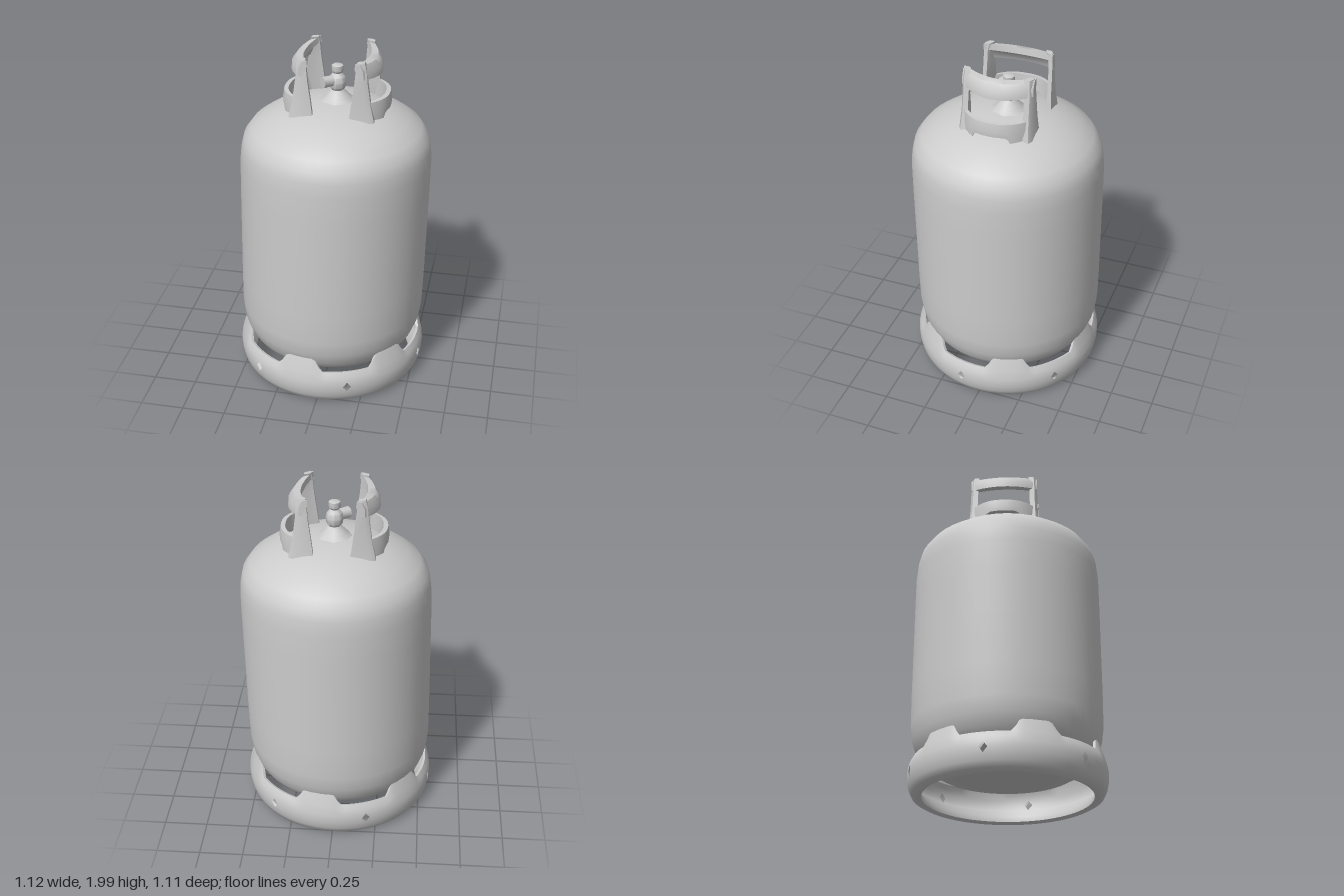
import * as THREE from 'three';
import { toCreasedNormals } from 'three/addons/utils/BufferGeometryUtils.js';

const material = new THREE.MeshStandardMaterial({ color: 0xcccccc, side: THREE.DoubleSide });

function part(name, geometry, parent) {
  const mesh = new THREE.Mesh(geometry, material);
  mesh.name = name;
  parent.add(mesh);
  return mesh;
}

// Skins a list of cross-sections; isHole(i, j) marks grid points to cut a diamond around.
function loft(sections, { closed = false, crease = 0.8, isHole = () => false } = {}) {
  const n = sections.length, m = sections[0].length, index = [];
  const id = (i, j) => (i % n) * m + (j % m);
  for (let i = 0; i < (closed ? n : n - 1); i++) {
    for (let j = 0; j < m; j++) {
      const a = id(i, j), b = id(i, j + 1), c = id(i + 1, j + 1), d = id(i + 1, j);
      if (isHole(i, j)) index.push(b, c, d);
      else if (isHole(i + 1, j + 1)) index.push(a, b, d);
      else if (isHole(i, j + 1)) index.push(a, c, d);
      else if (isHole(i + 1, j)) index.push(a, b, c);
      else index.push(a, b, c, a, c, d);
    }
  }
  if (!closed) {
    for (let j = 1; j < m - 1; j++) {
      index.push(id(0, 0), id(0, j + 1), id(0, j));
      index.push(id(n - 1, 0), id(n - 1, j), id(n - 1, j + 1));
    }
  }
  const geometry = new THREE.BufferGeometry();
  geometry.setAttribute('position', new THREE.Float32BufferAttribute(sections.flat(2), 3));
  geometry.setIndex(index);
  geometry.computeVertexNormals();
  return toCreasedNormals(geometry, crease);
}

const steps = (n, fn) => Array.from({ length: n + 1 }, (_, i) => fn(i / n));
const vec2 = (list) => list.map(([x, y]) => new THREE.Vector2(x, y));

// Tank with a rounded shoulder and base, leaning very slightly to one side
function tankGeometry() {
  const profile = vec2([
    [0, 0.1], [0.2, 0.115], [0.38, 0.16], [0.47, 0.21], [0.505, 0.26], [0.53, 0.33], [0.542, 0.42],
    [0.544, 0.6], [0.544, 0.9], [0.544, 1.2], [0.543, 1.36], [0.535, 1.44], [0.52, 1.5], [0.48, 1.555],
    [0.41, 1.605], [0.34, 1.642], [0.27, 1.67], [0.19, 1.69], [0.1, 1.705], [0, 1.71],
  ]);
  const geometry = new THREE.LatheGeometry(profile, 48);
  const p = geometry.attributes.position;
  for (let i = 0; i < p.count; i++) p.setX(i, p.getX(i) + 0.02 * (p.getY(i) - 0.7));
  return geometry;
}

// Hollow foot ring: six diamond drain holes, with webs between the slots rising to the tank
function footRingGeometry() {
  const profile = [
    [0.53, 0.22], [0.547, 0.19], [0.555, 0.16], [0.557, 0.13], [0.555, 0.1], [0.547, 0.06],
    [0.53, 0.025], [0.5, 0.008], [0.475, 0.02], [0.478, 0.05],
    [0.515, 0.1], [0.525, 0.13], [0.527, 0.16], [0.525, 0.19], [0.515, 0.215],
  ];
  const count = 144, last = profile.length - 1;
  const sections = [];
  for (let i = 0; i < count; i++) {
    const a = (i / count) * Math.PI * 2;
    const web = THREE.MathUtils.smoothstep(-Math.cos(6 * (a - Math.PI / 9)), 0, 0.65);
    sections.push(profile.map(([r, y], j) => {
      const edge = j === 0 || j === last ? 1 : j === 1 || j === last - 1 ? 0.35 : 0;
      const radius = r - 0.016 * web * edge;
      return [Math.sin(a) * radius, y + 0.075 * web * edge, Math.cos(a) * radius];
    }));
  }
  const isHole = (i, j) => i % 24 === 8 && (j === 3 || j === 11);
  return loft(sections, { closed: true, isHole });
}

// Carrying handle on the +x side: grip, curved lower band and two plate-like posts
function createHandle(name) {
  const handle = new THREE.Group();
  handle.name = name;

  part('handleGrip', loft(steps(16, (k) => {
    const t = k * 2 - 1, z = 0.2 * t;
    const x = 0.252 - 0.075 * t * t, y = 0.018 * t * t, w = 1 - 0.35 * t * t;
    return [
      [x - 0.075 * w, 1.945 + y, z], [x - 0.045 * w, 1.925 + y, z], [x - 0.025 * w, 1.882 + y, z],
      [x, 1.89 + y, z], [x - 0.003 * w, 1.935 + y, z], [x - 0.03 * w, 1.972 + y, z],
      [x - 0.07 * w, 1.978 + y, z],
    ];
  })), handle);

  part('handleBand', loft(steps(20, (k) => {
    const t = k * 2 - 1, z = 0.19 * t;
    const x = 0.3 - 0.1 * Math.abs(t) ** 2.5;
    const bottom = 1.692 - 0.06 * THREE.MathUtils.smoothstep(Math.abs(t), 0.45, 0.65);
    return [
      [x - 0.035, bottom, z], [x, bottom, z], [x + 0.003, 1.72, z],
      [x - 0.005, 1.77, z], [x - 0.03, 1.772, z],
    ];
  })), handle);

  for (const side of [-1, 1]) {
    const sections = [
      [1.6, 0.09, 0.245, 0.215], [1.67, 0.1, 0.235, 0.208], [1.76, 0.112, 0.215, 0.202],
      [1.88, 0.128, 0.198, 0.2], [1.96, 0.135, 0.19, 0.198], [1.997, 0.14, 0.18, 0.194],
    ].map(([y, x0, x1, z]) => {
      const corners = [
        [x0, y, side * z], [x1 - 0.025, y, side * z], [x1, y, side * (z - 0.015)],
        [x1, y, side * (z - 0.045)], [x1 - 0.03, y, side * (z - 0.035)], [x0, y, side * (z - 0.022)],
      ];
      return side > 0 ? corners : corners.reverse();
    });
    part(side > 0 ? 'frontPost' : 'backPost', loft(sections), handle);
  }
  return handle;
}

// Valve: stepped faceted stem with one slanting side outlet
function createValve() {
  const valve = new THREE.Group();
  valve.name = 'valve';
  const stem = new THREE.LatheGeometry(vec2([
    [0.14, 1.68], [0.09, 1.71], [0.075, 1.725], [0.055, 1.745], [0.035, 1.765], [0.045, 1.78],
    [0.05, 1.81], [0.044, 1.84], [0.025, 1.862], [0.035, 1.875], [0.033, 1.905], [0.022, 1.911], [0, 1.908],
  ]), 8);
  part('valveStem', toCreasedNormals(stem, 0.8), valve);

  const outlet = new THREE.CylinderGeometry(0.033, 0.03, 0.095, 8);
  outlet.rotateX(Math.PI / 2).translate(0, 0, 0.047);
  const mesh = part('valveOutlet', toCreasedNormals(outlet, 0.8), valve);
  mesh.position.y = 1.82;
  mesh.rotation.y = -Math.PI / 3.6;
  return valve;
}

export function createModel() {
  const model = new THREE.Group();
  model.name = 'gasCylinder';

  part('tank', tankGeometry(), model);
  part('footRing', footRingGeometry(), model).position.set(-0.008, 0, 0.005);

  const leftHandle = createHandle('leftHandle');
  leftHandle.position.set(0.02, 0, -0.01);
  const rightHandle = createHandle('rightHandle');
  rightHandle.position.set(0.02, 0, -0.01);
  rightHandle.rotation.y = Math.PI;
  model.add(leftHandle, rightHandle);

  const valve = createValve();
  valve.position.set(0.02, 0, -0.008);
  model.add(valve);

  return model;
}
